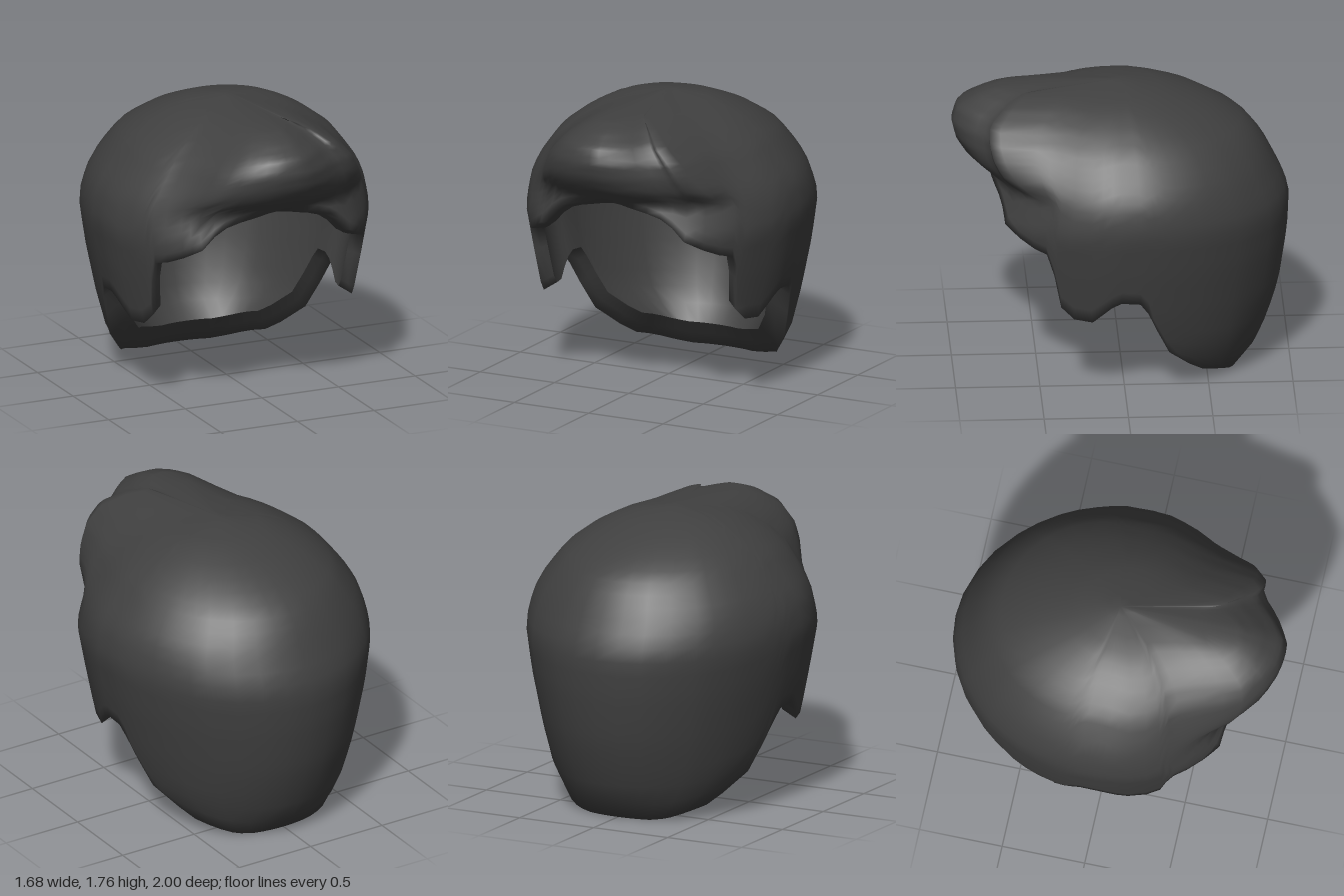
import * as THREE from 'three';
import { mergeVertices } from 'three/addons/utils/BufferGeometryUtils.js';

const material = new THREE.MeshStandardMaterial({ color: 0x404040, side: THREE.DoubleSide });

// Shell cross-section by height: y, half width, centre z, front depth, back depth
const LEVELS = [
  [0.00, 0.40, -0.50, 0.20, 0.20], [0.08, 0.50, -0.30, 0.45, 0.49],
  [0.26, 0.65, -0.10, 0.70, 0.77], [0.50, 0.735, 0, 0.78, 0.945],
  [0.80, 0.80, 0, 0.81, 0.99], [1.04, 0.84, 0, 0.86, 1.00],
  [1.12, 0.84, 0, 0.82, 0.975], [1.25, 0.815, 0, 0.78, 0.91],
  [1.34, 0.765, 0, 0.77, 0.865], [1.44, 0.69, 0, 0.75, 0.80],
  [1.52, 0.625, 0, 0.72, 0.71], [1.62, 0.49, 0, 0.63, 0.53],
  [1.69, 0.355, 0, 0.50, 0.35], [1.73, 0.23, 0, 0.36, 0.21], [1.76, 0, 0, 0, 0],
];

// Forward bulge of the quiff by height, and its strength by angle (+ is left)
const QUIFF_BY_HEIGHT = [
  [1.25, 0], [1.29, 0.08], [1.34, 0.15], [1.42, 0.22], [1.52, 0.28],
  [1.60, 0.33], [1.68, 0.34], [1.735, 0.36], [1.76, 0],
];
const QUIFF_BY_ANGLE = [
  [-50, 0], [-43, 0.3], [-35, 0.8], [-24, 0.95], [-12, 1], [6, 1],
  [18, 0.85], [29, 0.7], [35, 0.72], [43, 0.95], [50, 0.95], [56, 0.4], [62, 0],
];

// Lower hairline on one side: degrees from the front, height
const HAIRLINE = [
  [0, 1.25], [6, 1.24], [12, 1.22], [18, 1.20], [24, 1.17], [29, 1.12], [35, 1.04],
  [39, 1.01], [43, 0.98], [50, 0.94], [56, 0.92], [58.5, 0.78], [61, 0.57], [67, 0.50],
  [75, 0.49], [80, 0.55], [84, 0.60], [88, 0.63], [95, 0.62], [98, 0.55], [100, 0.42],
  [102, 0.26], [105, 0.14], [110, 0.08], [117, 0.06], [124, 0.04], [132, 0.02],
  [139, 0.01], [150, 0], [160, 0], [170, 0], [180, 0],
];

// Linear lookup in a table of rows sorted by their first value
function lookup(table, x) {
  let i = 0;
  while (i < table.length - 2 && x > table[i + 1][0]) i++;
  const a = table[i], b = table[i + 1];
  const t = THREE.MathUtils.clamp((x - a[0]) / (b[0] - a[0]), 0, 1);
  return a.map((v, k) => v + (b[k] - v) * t);
}

function shellPoint(deg, y) {
  const [, w, c, front, back] = lookup(LEVELS, y);
  const a = THREE.MathUtils.degToRad(deg);
  const cos = Math.cos(a);
  return new THREE.Vector3(w * Math.sin(a), y, c + (cos > 0 ? front : back) * cos);
}

// Shell point pushed forward by the quiff
function hairPoint(deg, y) {
  const p = shellPoint(deg, y);
  p.z += lookup(QUIFF_BY_HEIGHT, y)[1] * lookup(QUIFF_BY_ANGLE, deg)[1];
  return p;
}

// Inner surface: the shell shrunk towards the middle of the head
const CENTRE = new THREE.Vector3(0, 0.95, 0);
const shrink = (p, s) => p.clone().sub(CENTRE).multiplyScalar(s).add(CENTRE);

// The hair is thinner at the fringe and sideburns than at the nape
const THICKNESS = [[0, 0.13], [24, 0.12], [56, 0.10], [75, 0.11], [88, 0.17], [180, 0.17]];
const innerScale = (deg) => 1 - lookup(THICKNESS, Math.abs(deg))[1];

// Smooth surface from rings of points, each ring closed around the head
function skin(rings, flip) {
  const n = rings[0].length;
  const index = [];
  for (let i = 0; i < rings.length - 1; i++) {
    for (let j = 0; j < n; j++) {
      const k = (j + 1) % n;
      const a = i * n + j, b = a + n, c = i * n + k, d = c + n;
      if (flip) index.push(a, c, b, b, c, d);
      else index.push(a, b, c, b, d, c);
    }
  }
  const g = new THREE.BufferGeometry().setFromPoints(rings.flat());
  g.setIndex(index);
  const merged = mergeVertices(g, 1e-4);
  merged.computeVertexNormals();
  return merged;
}

export function createModel() {
  const group = new THREE.Group();
  const add = (name, geometry) => {
    const mesh = new THREE.Mesh(geometry, material);
    mesh.name = name;
    group.add(mesh);
  };

  // Full hairline, mirrored to the right with negative angles
  const mirrored = HAIRLINE.slice(1, -1).reverse().map(([d, y]) => [-d, y]);
  const columns = [...HAIRLINE, ...mirrored];

  // Rings of points from crown to hairline
  const rows = 24, top = 1.76;
  const rings = (point) => Array.from({ length: rows + 1 }, (_, i) => {
    const t = Math.pow(i / rows, 1.6);
    return columns.map(([deg, rim]) => point(deg, top + (rim - top) * t));
  });

  // Outer hair with the quiff, turned in along a rounded rim
  const outer = rings(hairPoint);
  const rim = [0.5, 1].map((f) => outer[rows].map(
    (p, j) => shrink(p, 1 - f * (1 - innerScale(columns[j][0])))));
  add('hairShell', skin([...outer, ...rim], false));

  // Inner lining
  const inner = rings((deg, y) => shrink(shellPoint(deg, y), innerScale(deg)));
  add('lining', skin(inner, true));
  return group;
}
